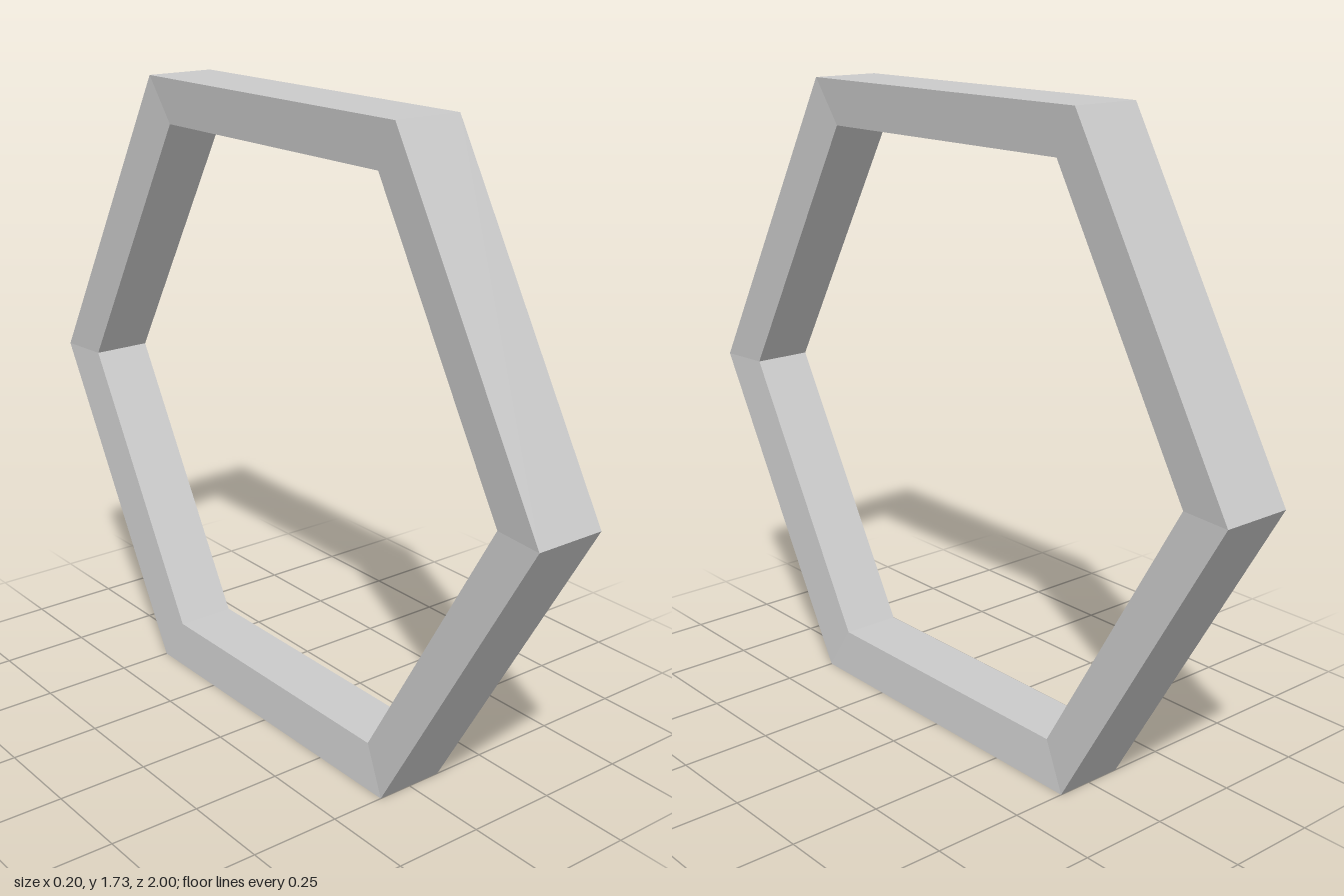
import * as THREE from 'three';

// Upright hexagonal frame, slightly narrower at its inner rim
export function createModel() {
  const group = new THREE.Group();
  group.name = 'hexagonFrame';

  const outer = 1, taper = 0.857, half = 0.098;
  const inner = outer * taper, innerHalf = half * taper;

  // Closed cross-section: radius, offset along the axis
  const section = [
    [outer, -half], [outer, half], [inner, innerHalf], [inner, -innerHalf], [outer, -half],
  ].map(([r, a]) => new THREE.Vector2(r, a));

  // Six straight bars with mitred corners, axis turned to x
  const geometry = new THREE.LatheGeometry(section, 6);
  geometry.rotateZ(Math.PI / 2);
  geometry.translate(0, outer * Math.sin(Math.PI / 3), 0);

  const ring = new THREE.Mesh(
    geometry,
    new THREE.MeshStandardMaterial({ color: 0xcccccc, flatShading: true }),
  );
  ring.name = 'hexagonRing';
  group.add(ring);
  return group;
}
